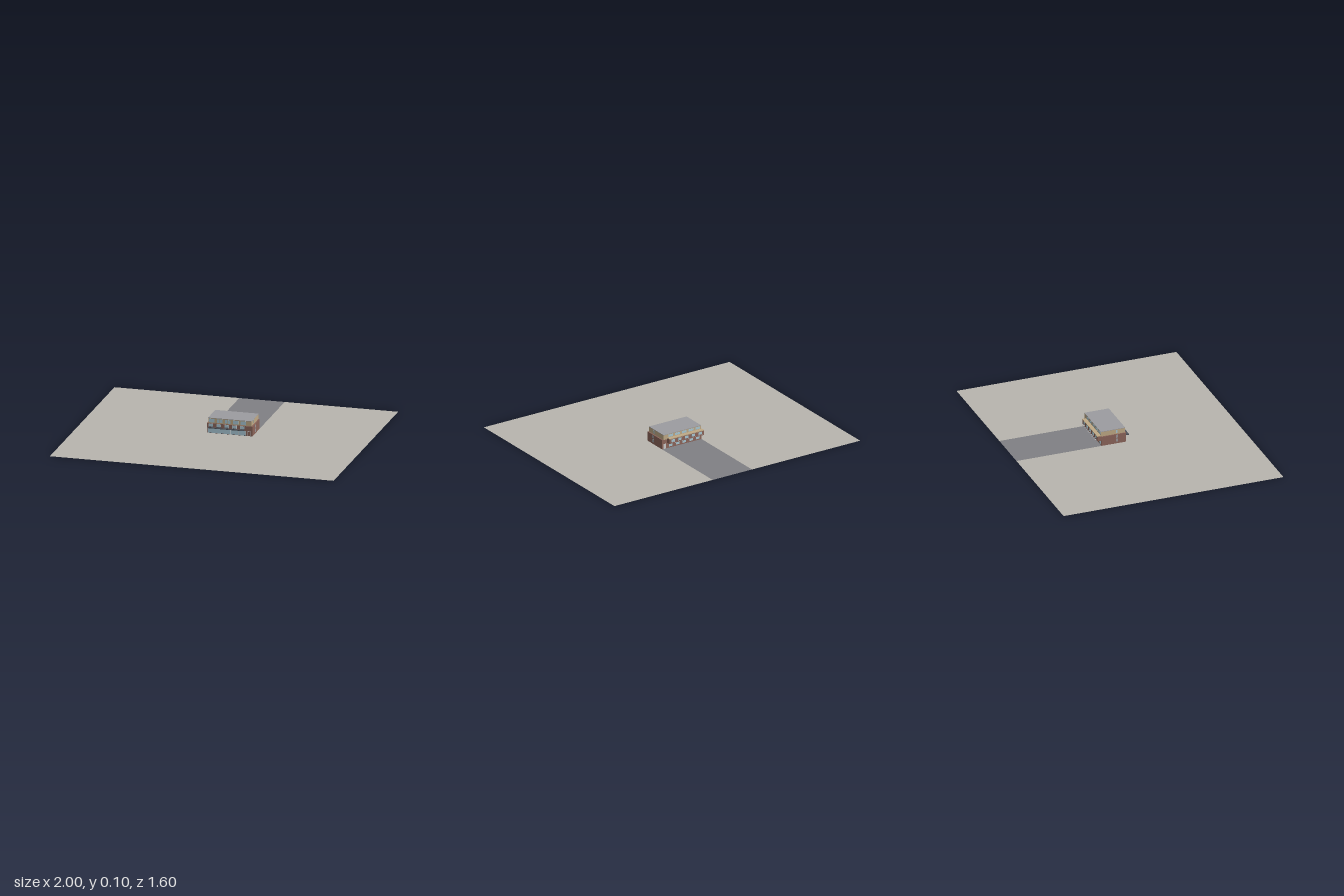
import * as THREE from 'three';

const mat = (color, side = THREE.FrontSide) => new THREE.MeshStandardMaterial({ color, side, flatShading: true });
const M = {
  ground: mat(0xb8b5ae, THREE.DoubleSide), road: mat(0x808084, THREE.DoubleSide),
  brick: mat(0x8c655a), tan: mat(0xc0aa86), roof: mat(0x9c9ca0),
  glass: mat(0xa9c9d6), dark: mat(0x50535a), trim: mat(0xe0e0dc),
};

// Box given by its min and max along each axis
function box(parent, name, material, [x0, x1], [y0, y1], [z0, z1]) {
  const mesh = new THREE.Mesh(new THREE.BoxGeometry(x1 - x0, y1 - y0, z1 - z0), material);
  mesh.position.set((x0 + x1) / 2, (y0 + y1) / 2, (z0 + z1) / 2);
  mesh.name = name;
  parent.add(mesh);
  return mesh;
}

// Flat sheet on the ground from x, z outline points
function sheet(parent, name, material, points) {
  const shape = new THREE.Shape(points.map(([x, z]) => new THREE.Vector2(x, -z)));
  const mesh = new THREE.Mesh(new THREE.ShapeGeometry(shape).rotateX(-Math.PI / 2), material);
  mesh.name = name;
  parent.add(mesh);
}

export function createModel() {
  const model = new THREE.Group();
  const L = -0.12, R = 0.2, back = -0.18;

  // Lot with a notch for the road and the building
  sheet(model, 'ground', M.ground, [[-1, 0.8], [1, 0.8], [1, -0.8], [R, -0.8], [R, 0], [L, 0], [L, -0.8], [-1, -0.8]]);
  sheet(model, 'road', M.road, [[L, back], [R, back], [R, -0.8], [L, -0.8]]);

  // Main volumes
  const building = new THREE.Group();
  building.name = 'building';
  model.add(building);
  box(building, 'lowerStorey', M.brick, [L, R], [0, 0.068], [back, -0.002]);
  box(building, 'upperStorey', M.tan, [-0.113, 0.191], [0.068, 0.102], [-0.184, -0.008]);
  box(building, 'roof', M.roof, [-0.114, 0.192], [0.102, 0.105], [-0.185, -0.007]);

  // Shop front with mullions
  const shop = new THREE.Group();
  shop.name = 'shopFront';
  building.add(shop);
  box(shop, 'shopGlass', M.glass, [-0.115, 0.155], [0.001, 0.034], [-0.004, -0.001]);
  for (let i = 0; i <= 5; i++) {
    const x = -0.114 + i * 0.0535;
    box(shop, 'mullion', M.trim, [x - 0.001, x + 0.001], [0, 0.035], [-0.003, 0]);
  }
  box(shop, 'entranceDoor', M.trim, [0.164, 0.19], [0, 0.034], [-0.003, -0.001]);
  box(shop, 'entranceDoorLeaf', M.brick, [0.168, 0.186], [0.001, 0.029], [-0.003, 0]);

  // Long canopy on brackets, windows above it and on the upper storey
  box(building, 'canopyFascia', M.dark, [-0.105, 0.14], [0.04, 0.045], [0.016, 0.026]);
  for (let i = 0; i < 5; i++) {
    const x = -0.093 + i * 0.0555;
    const bay = new THREE.Group();
    bay.name = 'frontBay';
    building.add(bay);
    box(bay, 'windowFrame', M.trim, [x - 0.016, x + 0.016], [0.042, 0.066], [-0.003, -0.001]);
    box(bay, 'windowGlass', M.glass, [x - 0.014, x + 0.014], [0.044, 0.064], [-0.003, 0]);
    box(bay, 'canopyPanel', M.dark, [x - 0.011, x + 0.015], [0.04, 0.047], [-0.002, 0.018]);
    box(bay, 'upperGlass', M.glass, [x - 0.013, x + 0.025], [0.073, 0.098], [-0.01, -0.0065]);
    box(bay, 'upperMullion', M.tan, [x + 0.005, x + 0.007], [0.072, 0.099], [-0.01, -0.006]);
  }

  // Rear balcony with parapet, brackets and windows
  const rear = new THREE.Group();
  rear.name = 'rearBalcony';
  building.add(rear);
  box(rear, 'balconyFloor', M.brick, [L, 0.16], [0.04, 0.046], [-0.21, back]);
  box(rear, 'balconyParapet', M.brick, [L, 0.16], [0.046, 0.074], [-0.21, -0.204]);
  box(rear, 'balconyCap', M.tan, [L, 0.16], [0.074, 0.079], [-0.213, -0.185]);
  for (const x of [L, 0.154]) box(rear, 'balconyEnd', M.brick, [x, x + 0.006], [0.046, 0.074], [-0.204, back]);
  for (let i = 0; i < 5; i++) {
    const x = -0.09 + i * 0.055;
    box(rear, 'rearWindow', M.glass, [x - 0.014, x + 0.014], [0.008, 0.034], [back - 0.001, back + 0.002]);
    box(rear, 'parapetOpening', M.glass, [x - 0.014, x + 0.014], [0.051, 0.069], [-0.211, -0.203]);
    box(rear, 'rearUpperGlass', M.glass, [x - 0.016, x + 0.022], [0.082, 0.098], [-0.1855, -0.182]);
    for (const d of [-0.012, 0.012]) box(rear, 'bracket', M.trim, [x + d - 0.001, x + d + 0.001], [0.046, 0.049], [-0.225, -0.21]);
  }
  box(rear, 'rearDoor', M.trim, [0.168, 0.188], [0, 0.036], [back - 0.001, back + 0.002]);

  // Narrow glazed strip on each side wall
  for (const [name, xLow, xHigh] of [['left', R, 0.191], ['right', L, -0.113]]) {
    for (const [y0, y1, x] of [[0.012, 0.036, xLow], [0.042, 0.064, xLow], [0.074, 0.098, xHigh]])
      box(building, name + 'SideWindow', M.glass, [x - 0.001, x + 0.001], [y0, y1], [-0.074, -0.064]);
  }
  return model;
}
